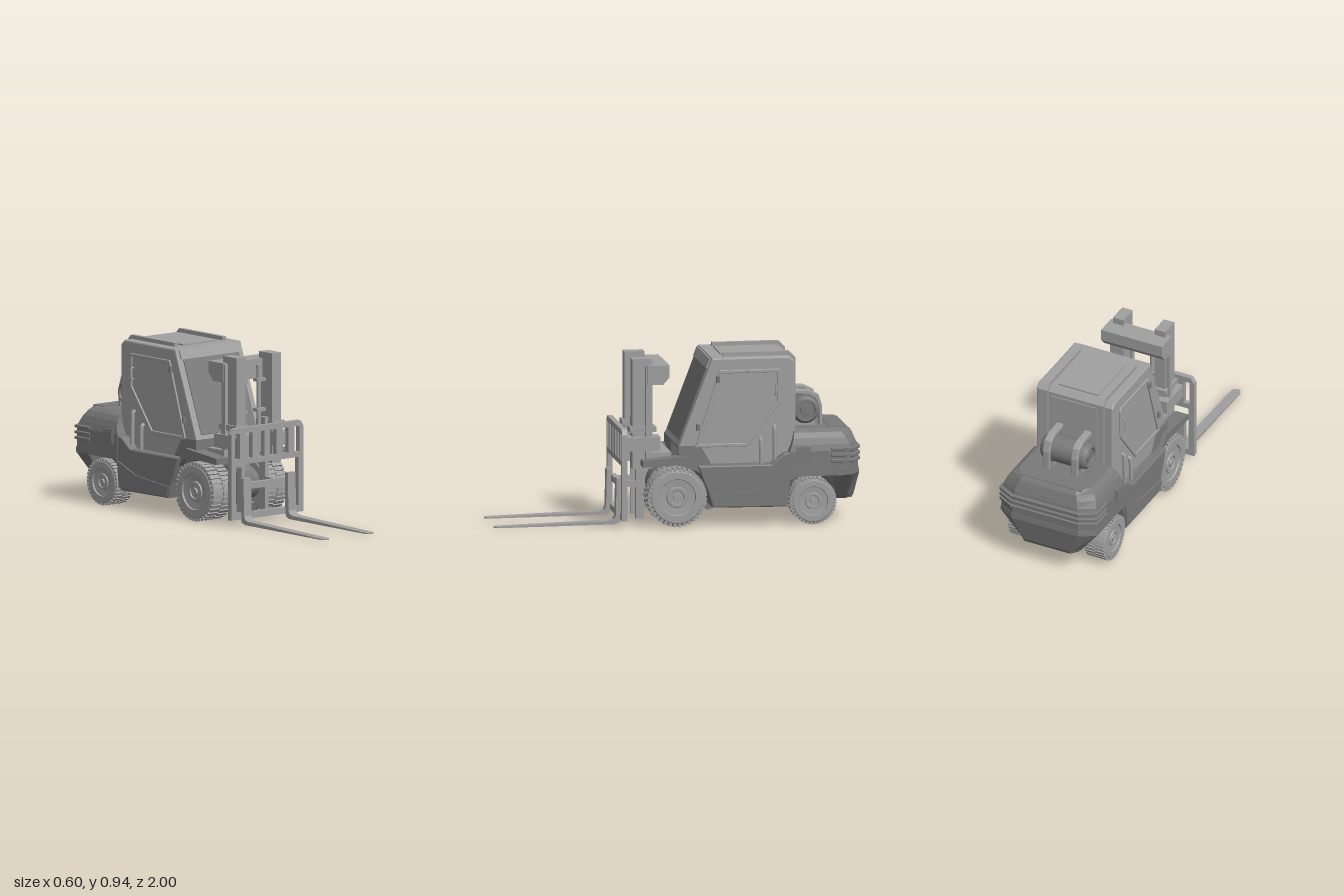
import * as THREE from 'three';
import { mergeGeometries } from 'three/addons/utils/BufferGeometryUtils.js';

const lightGrey = new THREE.MeshStandardMaterial({ color: 0xa0a0a0 });
const darkGrey = new THREE.MeshStandardMaterial({ color: 0x7a7a7a });
// parts in the darker paint
const darkParts = new Set(['chassis', 'floor', 'counterweight', 'counterweightBase', 'rearRib', 'hoodPanel', 'hoodHandle',
  'fender', 'skirt', 'sideVent', 'sideVentPanel', 'differential', 'frontAxle', 'rearAxle', 'sump', 'gasTank',
  'tankBand', 'windscreen', 'doorHinge']);
const V2 = (a) => a.map(([x, y]) => new THREE.Vector2(x, y));

export function createModel() {
  const root = new THREE.Group();
  const add = (name, geo, parent = root) => {
    const m = new THREE.Mesh(geo, darkParts.has(name) ? darkGrey : lightGrey);
    m.name = name;
    parent.add(m);
  };
  // box given by its min/max on each axis
  const box = (name, x0, x1, y0, y1, z0, z1) => {
    const g = new THREE.BoxGeometry(Math.abs(x1 - x0), y1 - y0, z1 - z0);
    add(name, g.translate((x0 + x1) / 2, (y0 + y1) / 2, (z0 + z1) / 2));
  };
  // side profile [z, y] extruded across x, with an optional opening
  const side = (name, pts, xa, xb, b = 0, hole = null) => {
    const x0 = Math.min(xa, xb), x1 = Math.max(xa, xb);
    const shape = new THREE.Shape(V2(pts));
    if (hole) shape.holes.push(new THREE.Path(V2(hole)));
    const g = new THREE.ExtrudeGeometry(shape, {
      depth: x1 - x0 - 2 * b, bevelEnabled: b > 0, bevelSize: b, bevelThickness: b, bevelOffset: -b, bevelSegments: 2,
    });
    add(name, g.rotateY(-Math.PI / 2).translate(x1 - b, 0, 0));
  };
  // stacked plan outlines: [y, halfWidth, zFront, zBack, cornerX, cornerZ]
  const loft = (name, levels) => {
    const rings = levels.map(([y, w, zf, zb, cx, cz]) => [
      [w, y, zf], [w, y, zb + cz], [w - cx, y, zb], [cx - w, y, zb], [-w, y, zb + cz], [-w, y, zf]]);
    const p = [], n = 6;
    for (let k = 0; k + 1 < rings.length; k++) {
      for (let i = 0; i < n; i++) {
        const j = (i + 1) % n, a = rings[k], b = rings[k + 1];
        p.push(...a[i], ...a[j], ...b[j], ...a[i], ...b[j], ...b[i]);
      }
    }
    const lo = rings[0], hi = rings[rings.length - 1];
    for (let i = 1; i < n - 1; i++) p.push(...hi[0], ...hi[i], ...hi[i + 1], ...lo[0], ...lo[i + 1], ...lo[i]);
    const g = new THREE.BufferGeometry();
    g.setAttribute('position', new THREE.Float32BufferAttribute(p, 3));
    g.computeVertexNormals();
    add(name, g);
  };
  // cylinder lying along x
  const drum = (name, r, x0, x1, y, z) => {
    const g = new THREE.CylinderGeometry(r, r, x1 - x0, 32);
    add(name, g.rotateZ(Math.PI / 2).translate((x0 + x1) / 2, y, z));
  };
  const rod = (name, r, y0, y1, x, z) => add(name, new THREE.CylinderGeometry(r, r, y1 - y0, 16).translate(x, (y0 + y1) / 2, z));
  const tube = (name, pts, r) => {
    const path = new THREE.CatmullRomCurve3(pts.map((p) => new THREE.Vector3(...p)), false, 'catmullrom', 0.2);
    add(name, new THREE.TubeGeometry(path, 24, r, 8));
  };
  // lathe along x whose profile segments meet in sharp edges
  const turned = (pts) => mergeGeometries(pts.slice(1).map((q, i) => new THREE.LatheGeometry(V2([pts[i], q]), 40))).rotateZ(-Math.PI / 2);

  // wheel: tyre with cross lugs and a stepped hub, outer face towards +x
  const wheel = (name, r, w, s, x, y, z) => {
    const group = new THREE.Group();
    group.name = name;
    const h = w / 2, prof = [[0, -h * 0.6], [r * 0.6, -h * 0.6], [r * 0.64, -h], [r * 0.86, -h], [r * 0.95, -h * 0.8],
      [r * 0.95, h * 0.8], [r * 0.86, h], [r * 0.62, h], [r * 0.6, h * 0.88]];
    const hub = [[r * 0.6, h * 0.88], [r * 0.36, h * 0.84], [r * 0.34, h * 0.95],
      [r * 0.24, h * 0.95], [r * 0.22, h * 0.85], [r * 0.13, h * 0.85], [r * 0.12, h], [0, h]];
    add('tyre', turned(prof), group);
    add('hub', turned(hub), group);
    const lugs = [], n = 36;
    for (let i = 0; i < n; i++) {
      for (const e of [-1, 1]) {
        const g = new THREE.BoxGeometry(w * 0.46, r * 0.12, r * 0.115);
        g.translate(e * w * 0.25, r * 0.937, 0).rotateX(((i + (e > 0 ? 0.5 : 0)) / n) * Math.PI * 2);
        lugs.push(g);
      }
    }
    add('treadLugs', mergeGeometries(lugs), group);
    group.position.set(x * s, y, z);
    if (s < 0) group.rotation.y = Math.PI;
    root.add(group);
  };

  // chassis and counterweight
  side('chassis', [[-0.1, 0.335], [-0.5, 0.335], [-0.57, 0.39], [-0.66, 0.41], [-0.66, 0.265], [-0.605, 0.235],
    [-0.585, 0.1], [-0.18, 0.105], [-0.155, 0.19], [-0.13, 0.25]], -0.285, 0.285, 0.008);
  side('floor', [[0, 0.335], [0, 0.44], [-0.12, 0.44], [-0.2, 0.3], [-0.1, 0.3]], -0.24, 0.24);
  loft('counterweight', [[0.265, 0.29, -0.6, -0.99, 0.09, 0.05], [0.4, 0.288, -0.6, -0.988, 0.09, 0.05],
    [0.435, 0.28, -0.615, -0.98, 0.09, 0.05], [0.47, 0.268, -0.625, -0.965, 0.085, 0.055],
    [0.498, 0.25, -0.63, -0.952, 0.08, 0.06], [0.515, 0.22, -0.635, -0.935, 0.06, 0.07]]);
  loft('counterweightBase', [[0.12, 0.17, -0.87, -0.965, 0.03, 0.04], [0.14, 0.19, -0.865, -0.975, 0.05, 0.045],
    [0.27, 0.291, -0.84, -0.996, 0.09, 0.05], [0.3, 0.291, -0.83, -0.992, 0.09, 0.05]]);
  for (const y of [0.345, 0.375, 0.408]) {
    loft('rearRib', [[y - 0.01, 0.287, -0.83, -0.986, 0.09, 0.05], [y - 0.006, 0.297, -0.83, -1, 0.09, 0.05],
      [y + 0.006, 0.297, -0.83, -1, 0.09, 0.05], [y + 0.01, 0.287, -0.83, -0.986, 0.09, 0.05]]);
  }
  box('hoodPanel', -0.185, 0.185, 0.51, 0.518, -0.925, -0.835);
  tube('hoodHandle', [[-0.03, 0.455, -0.965], [-0.03, 0.458, -0.98], [0.03, 0.458, -0.98], [0.03, 0.455, -0.965]], 0.005);

  // cab
  side('cab', [[0, 0.33], [0, 0.43], [-0.185, 0.915], [-0.61, 0.915], [-0.637, 0.89], [-0.637, 0.33]], -0.232, 0.232, 0.008);
  side('windscreen', [[-0.015, 0.46], [-0.01, 0.465], [-0.16, 0.865], [-0.17, 0.865]], -0.195, 0.195);
  side('windscreenHeader', [[-0.155, 0.86], [-0.175, 0.91], [-0.19, 0.91], [-0.17, 0.86]], -0.21, 0.21);
  box('roofPanel', -0.12, 0.12, 0.91, 0.923, -0.59, -0.25);
  box('rearWindow', -0.14, 0.14, 0.58, 0.87, -0.643, -0.63);

  // mast cross members and underside
  side('mastTopBeam', [[0.16, 0.875], [0.04, 0.875], [0.04, 0.81], [0.075, 0.77], [0.16, 0.77]], -0.185, 0.185);
  box('mastLowerBeam', -0.185, 0.185, 0.335, 0.4, 0.03, 0.17);
  box('mastMiddleBeam', -0.1, 0.1, 0.42, 0.47, 0.14, 0.18);
  drum('differential', 0.125, -0.055, 0.055, 0.2, 0.01);
  drum('frontAxle', 0.09, -0.13, 0.13, 0.18, 0.01);
  drum('rearAxle', 0.055, -0.18, 0.18, 0.128, -0.73);
  side('sump', [[0, 0.2], [-0.08, 0.1], [-0.13, 0.072], [-0.19, 0.068], [-0.26, 0.105], [-0.26, 0.2]], -0.11, 0.11);

  // gas tank with recessed end caps
  const tankEnd = [[0.076, 0.105], [0.072, 0.125], [0.06, 0.138], [0.052, 0.138], [0.05, 0.125], [0.03, 0.125], [0.028, 0.132], [0, 0.132]];
  const tank = [...tankEnd.map(([r, x]) => [r, -x]).reverse(), ...tankEnd];
  add('gasTank', turned(tank).translate(0, 0.6, -0.715));

  // load carriage: a plate with slots and a large lower opening
  const plate = new THREE.Shape(V2([[-0.255, 0.04], [0.255, 0.04], [0.255, 0.51], [0.235, 0.54], [-0.235, 0.54], [-0.255, 0.51]]));
  const slot = (x0, x1, y0, y1) => plate.holes.push(new THREE.Path(V2([[x0, y0], [x0, y1], [x1, y1], [x1, y0]])));
  slot(-0.222, 0.222, 0.075, 0.34);
  for (const x of [-0.128, -0.042, 0.042, 0.128]) slot(x - 0.022, x + 0.022, 0.37, 0.51);
  for (const x of [-0.21, 0.21]) slot(x - 0.018, x + 0.018, 0.37, 0.51);
  add('carriage', new THREE.ExtrudeGeometry(plate, { depth: 0.029, bevelEnabled: false }).translate(0, 0, 0.283));
  box('carriageCrossbar', -0.16, 0.16, 0.2, 0.235, 0.28, 0.308);

  for (const s of [1, -1]) {
    wheel('frontWheel', 0.162, 0.145, s, 0.192, 0.163, 0.01);
    wheel('rearWheel', 0.128, 0.12, s, 0.231, 0.128, -0.73);

    // front fender and flared side skirt
    side('fender', [[0.2, 0.332], [0.2, 0.365], [0, 0.385], [-0.06, 0.392], [-0.11, 0.335], [-0.2, 0.335], [-0.2, 0.15],
      [-0.165, 0.19], [-0.135, 0.27], [-0.08, 0.325], [-0.03, 0.34], [0.03, 0.34]], s * 0.185, s * 0.264);
    side('skirt', [[-0.17, 0.17], [-0.45, 0.2], [-0.6, 0.26], [-0.585, 0.115], [-0.19, 0.115]], s * 0.28, s * 0.293);
    box('sideVent', s * 0.28, s * 0.294, 0.345, 0.425, -0.715, -0.635);
    box('sideVentPanel', s * 0.28, s * 0.298, 0.355, 0.415, -0.705, -0.645);

    // raised door frame with hinges, handle and grab rails
    side('doorFrame', [[-0.225, 0.85], [-0.55, 0.85], [-0.565, 0.835], [-0.56, 0.665], [-0.38, 0.43], [-0.09, 0.43]],
      s * 0.225, s * 0.241, 0.003, [[-0.238, 0.832], [-0.54, 0.832], [-0.543, 0.672], [-0.372, 0.448], [-0.115, 0.448]]);
    for (const [z, y] of [[-0.215, 0.8], [-0.105, 0.54]]) rod('doorHinge', 0.011, y - 0.018, y + 0.018, s * 0.238, z);
    tube('doorHandle', [[s * 0.232, 0.71, -0.53], [s * 0.252, 0.712, -0.53], [s * 0.252, 0.768, -0.53], [s * 0.232, 0.77, -0.53]], 0.005);
    for (const [z, top] of [[-0.525, 0.535], [-0.45, 0.47]]) {
      tube('grabRail', [[s * 0.228, top, z], [s * 0.244, top - 0.01, z], [s * 0.248, 0.4, z], [s * 0.248, 0.32, z]], 0.012);
    }

    // roof rails running down the cab back
    side('roofRail', [[-0.25, 0.91], [-0.25, 0.936], [-0.615, 0.936], [-0.65, 0.9], [-0.65, 0.51], [-0.63, 0.51], [-0.63, 0.88]], s * 0.158, s * 0.182);

    // tank straps
    side('tankStrap', [[-0.637, 0.71], [-0.74, 0.705], [-0.79, 0.68], [-0.81, 0.62], [-0.81, 0.51], [-0.793, 0.51],
      [-0.793, 0.61], [-0.775, 0.655], [-0.735, 0.68], [-0.637, 0.685]], s * 0.065, s * 0.105, 0.004);
    drum('tankBand', 0.081, s * 0.085 - 0.02, s * 0.085 + 0.02, 0.6, -0.715);
    box('tankSaddle', s * 0.06, s * 0.11, 0.51, 0.545, -0.77, -0.66);

    // mast rails
    box('mastRail', s * 0.095, s * 0.158, 0.31, 0.91, 0.13, 0.24);
    box('mastRailFlange', s * 0.15, s * 0.18, 0.34, 0.87, 0.14, 0.17);
    box('innerRail', s * 0.07, s * 0.095, 0.025, 0.56, 0.165, 0.21);
    box('mastBracket', s * 0.09, s * 0.19, 0.41, 0.485, 0.09, 0.285);
    box('mastCollar', s * 0.09, s * 0.172, 0.51, 0.54, 0.11, 0.255);
    box('carriageLink', s * 0.07, s * 0.095, 0.2, 0.235, 0.2, 0.285);

    // lift cylinders
    rod('liftCylinder', 0.012, 0.37, 0.84, s * 0.06, 0.17);
    rod('liftCylinderHead', 0.016, 0.82, 0.845, s * 0.06, 0.17);
    for (const y of [0.59, 0.755]) box('cylinderClamp', s * 0.035, s * 0.1, y, y + 0.018, 0.15, 0.19);

    // forks with rounded tips
    side('fork', [[0.305, 0.265], [0.305, 0.05], [0.315, 0.025], [0.34, 0.013], [0.973, 0.01], [0.973, 0.016],
      [0.37, 0.033], [0.345, 0.04], [0.335, 0.06], [0.33, 0.265]], s * 0.13, s * 0.184);
    rod('forkTip', 0.027, 0.01, 0.016, s * 0.157, 0.973);
  }
  return root;
}
